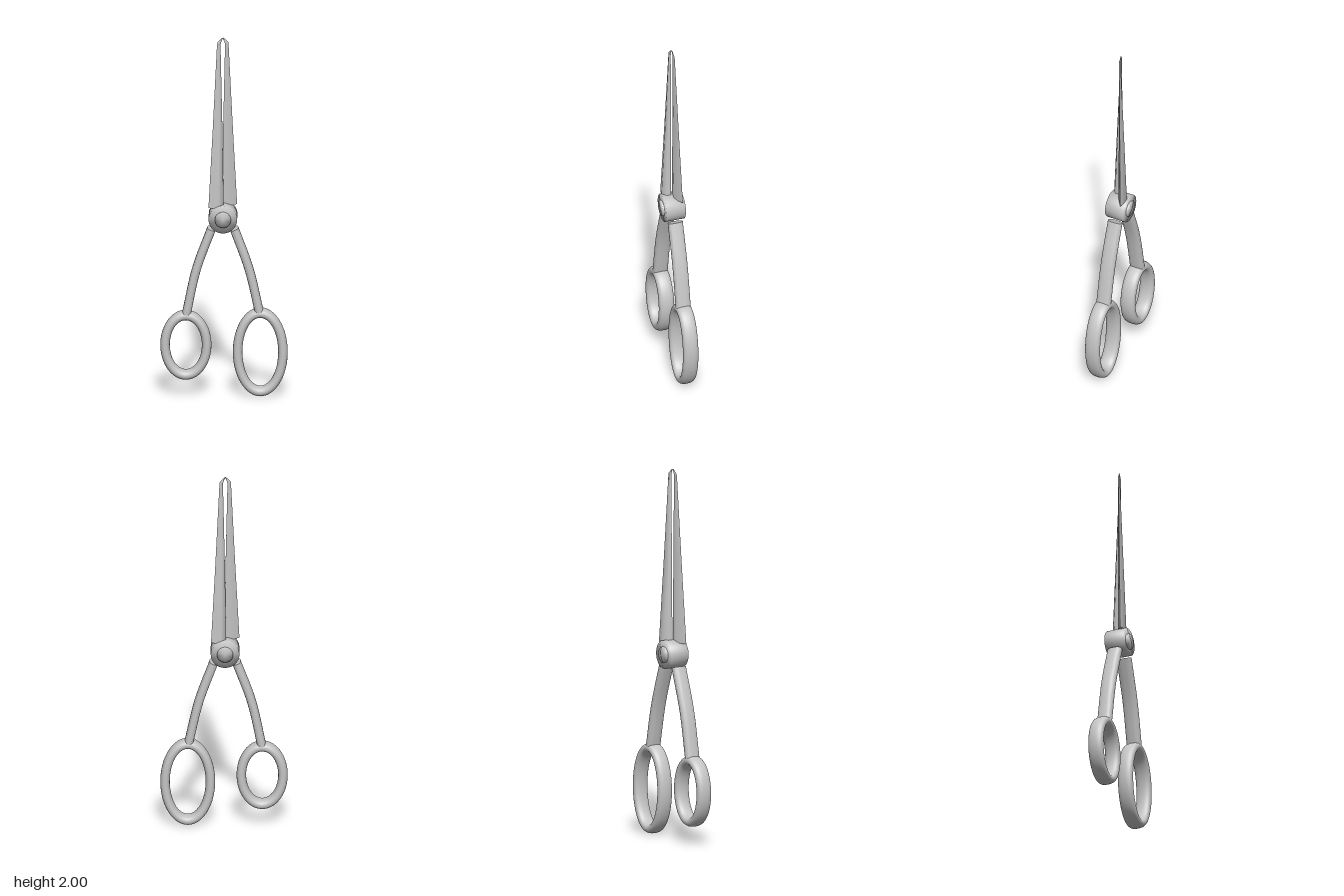
import * as THREE from 'three';
import { mergeVertices, toCreasedNormals } from 'three/addons/utils/BufferGeometryUtils.js';

const PIVOT_X = -0.008;
const HALF_DEPTH = 0.042; // half thickness of the handles in z
const HALF_WIDTH = 0.0255; // half thickness of the handles in the xy plane

// Softens a circle's coordinate towards a rounded square
const squarish = (v, power) => Math.sign(v) * Math.abs(v) ** power;

// Shares normals over every edge
function smooth(geo) {
  geo.deleteAttribute('uv');
  geo.deleteAttribute('normal');
  const merged = mergeVertices(geo, 1e-5);
  merged.computeVertexNormals();
  return merged;
}

// Oval finger ring with a rounded cross-section
function ringGeometry(rx, ry) {
  const geo = new THREE.TorusGeometry(1, 0.3, 24, 64);
  const { position: pos, uv } = geo.attributes;
  for (let i = 0; i < pos.count; i++) {
    const t = uv.getX(i) * Math.PI * 2, s = uv.getY(i) * Math.PI * 2;
    const out = HALF_WIDTH * squarish(Math.cos(s), 0.85);
    pos.setXYZ(i, (rx + out) * Math.cos(t), (ry + out) * Math.sin(t), HALF_DEPTH * squarish(Math.sin(s), 0.85));
  }
  return smooth(geo);
}

// Rounded bar bent along a curve that runs upwards
function shankGeometry(points) {
  const curve = new THREE.CatmullRomCurve3(points.map(([x, y]) => new THREE.Vector3(x, y, 0)));
  const geo = new THREE.CylinderGeometry(1, 1, 1, 28, 16);
  const pos = geo.attributes.position;
  for (let i = 0; i < pos.count; i++) {
    const t = THREE.MathUtils.clamp(pos.getY(i) + 0.5, 0, 1);
    const p = curve.getPoint(t), d = curve.getTangent(t);
    const w = squarish(pos.getX(i), 0.75) * 0.0235;
    pos.setXYZ(i, p.x + d.y * w, p.y - d.x * w, squarish(pos.getZ(i), 0.75) * HALF_DEPTH * 0.97);
  }
  return toCreasedNormals(geo, 0.8);
}

// Tapering five-sided blade, lofted from one section
function bladeGeometry() {
  const section = [[0.42, -0.003], [1, -0.038], [0.33, -0.05], [0, -0.03], [0, -0.005]];
  // height, inner edge, outer edge, depth scale
  const stations = [
    [1.06, -0.005, 0.076, 1],
    [1.5, 0.002, 0.053, 0.6],
    [1.96, 0.012, 0.031, 0.2],
    [1.975, 0.01, 0.029, 0.17],
    [2.0, -0.001, 0.005, 0.05],
  ];
  const n = section.length, verts = [], index = [];
  for (const [y, inner, outer, depth] of stations)
    for (const [u, z] of section) verts.push(inner + (outer - inner) * u, y, z * depth);
  for (let i = 0; i < stations.length - 1; i++)
    for (let k = 0; k < n; k++) {
      const a = i * n + k, b = i * n + (k + 1) % n;
      index.push(a, b, b + n, a, b + n, a + n);
    }
  // end caps
  const top = (stations.length - 1) * n;
  for (let k = 1; k < n - 1; k++) {
    index.push(0, k + 1, k);
    index.push(top, top + k, top + k + 1);
  }
  const geo = new THREE.BufferGeometry();
  geo.setAttribute('position', new THREE.Float32BufferAttribute(verts, 3));
  geo.setIndex(index);
  return toCreasedNormals(geo, 1.3);
}

export function createModel() {
  const model = new THREE.Group();
  model.name = 'scissors';
  const steel = new THREE.MeshStandardMaterial({ name: 'steel grey', color: 0xc4c4c4 });

  const add = (name, geo, x = 0, y = 0, z = 0) => {
    const mesh = new THREE.Mesh(geo, steel);
    mesh.name = name;
    mesh.position.set(x, y, z);
    model.add(mesh);
    return mesh;
  };

  // Blades: the same shape turned half way round the centre line
  const blade = bladeGeometry();
  add('leftBlade', blade, PIVOT_X);
  add('rightBlade', blade, PIVOT_X).rotation.y = Math.PI;

  // Pivot barrel and its screw, with softly shaded rims
  const disc = (r, depth) => smooth(new THREE.CylinderGeometry(r, r, depth, 48).rotateX(Math.PI / 2));
  add('pivot', disc(0.0765, 0.108), PIVOT_X + 0.001, 1.0, -0.001);
  add('pivotScrew', disc(0.043, 0.126), PIVOT_X + 0.001, 1.0, 0);

  // Curved shanks
  add('leftShank', shankGeometry([[0.188, 0.465], [0.132, 0.71], [0.053, 0.935]]));
  add('rightShank', shankGeometry([[-0.204, 0.45], [-0.148, 0.71], [-0.068, 0.935]]));

  // Finger rings, the left one larger
  add('leftRing', ringGeometry(0.121, 0.219), 0.192, 0.247);
  add('rightRing', ringGeometry(0.111, 0.166), -0.205, 0.285);

  return model;
}
